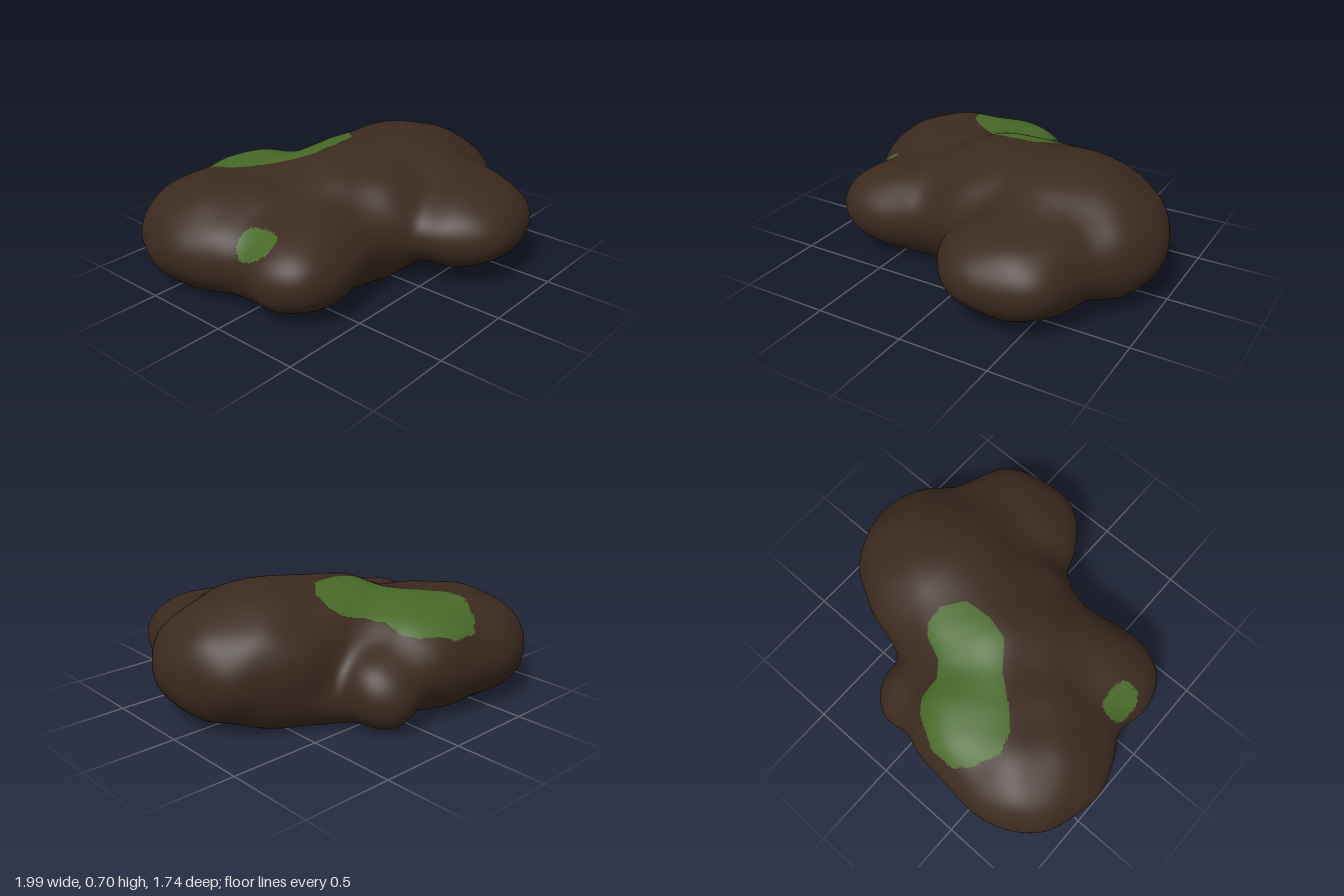
import * as THREE from 'three';
import { mergeVertices } from 'three/addons/utils/BufferGeometryUtils.js';

// Rounded lobes of the boulder: centre, radii
const LOBES = [
  [[0.39, 0.33, 0.02], [0.54, 0.37, 0.48]],   // main mass
  [[0.68, 0.30, 0.08], [0.30, 0.27, 0.38]],   // outer shoulder
  [[-0.45, 0.27, -0.36], [0.54, 0.31, 0.50]], // rear lobe
  [[-0.62, 0.26, -0.50], [0.33, 0.26, 0.34]], // rear corner
  [[-0.20, 0.29, -0.49], [0.34, 0.28, 0.34]], // rear saddle
  [[0.13, 0.20, -0.56], [0.20, 0.20, 0.24]],  // rear bump
  [[-0.60, 0.25, 0.17], [0.30, 0.22, 0.29]],  // side lobe
  [[-0.35, 0.27, 0.10], [0.38, 0.25, 0.31]],  // side bridge
  [[0.33, 0.29, 0.50], [0.36, 0.23, 0.37]],   // front lobe
  [[0.50, 0.29, 0.42], [0.26, 0.22, 0.39]],   // front corner
  [[0.00, 0.30, 0.20], [0.28, 0.27, 0.28]],   // front bridge
  [[0.00, 0.33, -0.08], [0.44, 0.34, 0.42]],  // centre
  [[-0.05, 0.15, -0.10], [0.75, 0.25, 0.44]], // base
];
const BLEND = 0.11;
const ORIGIN = new THREE.Vector3(0, 0.28, -0.04);

function lobeDistance(p, [c, r]) {
  const d = [p.x - c[0], p.y - c[1], p.z - c[2]];
  const a = Math.hypot(d[0] / r[0], d[1] / r[1], d[2] / r[2]);
  const b = Math.hypot(d[0] / r[0] ** 2, d[1] / r[1] ** 2, d[2] / r[2] ** 2);
  return b < 1e-6 ? -Math.min(...r) : a * (a - 1) / b;
}

// Smooth union of the lobes with a faint unevenness
function distance(p) {
  let d = 10;
  for (const lobe of LOBES) {
    const e = lobeDistance(p, lobe);
    const h = Math.max(BLEND - Math.abs(d - e), 0) / BLEND;
    d = Math.min(d, e) - h * h * BLEND / 4;
  }
  return d + 0.008 * Math.sin(13 * p.x + 2) * Math.sin(12 * p.y + 1) * Math.sin(14 * p.z);
}

// Outermost surface point along a direction, cut flat at the ground
function surfacePoint(dir) {
  const p = new THREE.Vector3();
  const at = (t) => distance(p.copy(dir).multiplyScalar(t).add(ORIGIN));
  let hi = 1.4;
  while (hi > 0.05 && at(hi - 0.02) > 0) hi -= 0.02;
  let lo = hi - 0.02;
  for (let i = 0; i < 12; i++) {
    const mid = (lo + hi) / 2;
    if (at(mid) > 0) hi = mid; else lo = mid;
  }
  if (dir.y < 0) lo = Math.min(lo, -ORIGIN.y / dir.y);
  return p.copy(dir).multiplyScalar(lo).add(ORIGIN);
}

// Moss outline seen from above (x, z)
const MOSS = [
  [-0.35, -0.79], [-0.20, -0.79], [-0.03, -0.69], [0.02, -0.62], [0.02, -0.50], [0.08, -0.42],
  [0.20, -0.37], [0.24, -0.32], [0.24, -0.22], [0.15, -0.11], [0, -0.10], [-0.13, -0.13],
  [-0.23, -0.26], [-0.38, -0.38], [-0.47, -0.48], [-0.50, -0.59], [-0.43, -0.72],
];

function inMoss(x, z) {
  let inside = false;
  MOSS.forEach(([ax, az], i) => {
    const [bx, bz] = MOSS[(i + 1) % MOSS.length];
    if ((az > z) !== (bz > z) && x < ax + (bx - ax) * (z - az) / (bz - az)) inside = !inside;
  });
  return inside;
}
const inSmallMoss = (x, z) => Math.abs((x + 0.78) / 0.075) ** 2.6 + Math.abs((z - 0.07) / 0.11) ** 2.6 < 1;

export function createModel() {
  const group = new THREE.Group();
  const rock = new THREE.MeshStandardMaterial({ name: 'brown rock', color: 0x3b2a1f });
  const moss = new THREE.MeshStandardMaterial({ name: 'green moss', color: 0x476928 });

  let sphere = new THREE.IcosahedronGeometry(1, 70);
  sphere.deleteAttribute('normal');
  sphere.deleteAttribute('uv');
  sphere = mergeVertices(sphere, 1e-4);
  const pos = sphere.attributes.position;
  const v = new THREE.Vector3();
  for (let i = 0; i < pos.count; i++) {
    const s = surfacePoint(v.fromBufferAttribute(pos, i).normalize());
    pos.setXYZ(i, s.x, s.y, s.z);
  }
  sphere.computeVertexNormals();

  // Sort the faces into bare rock and the two moss patches
  const parts = { boulder: [], mossPatch: [], smallMossPatch: [] };
  const index = sphere.index.array;
  for (let i = 0; i < index.length; i += 3) {
    const face = [index[i], index[i + 1], index[i + 2]];
    const mean = (get) => face.reduce((sum, k) => sum + get(k), 0) / 3;
    const x = mean((k) => pos.getX(k)), y = mean((k) => pos.getY(k)), z = mean((k) => pos.getZ(k));
    const name = y < 0.28 ? 'boulder'
      : inMoss(x, z) ? 'mossPatch' : inSmallMoss(x, z) ? 'smallMossPatch' : 'boulder';
    parts[name].push(...face);
  }
  for (const [name, faces] of Object.entries(parts)) {
    const geometry = new THREE.BufferGeometry();
    geometry.setAttribute('position', pos);
    geometry.setAttribute('normal', sphere.attributes.normal);
    geometry.setIndex(faces);
    const mesh = new THREE.Mesh(geometry, name === 'boulder' ? rock : moss);
    mesh.name = name;
    group.add(mesh);
  }
  return group;
}
